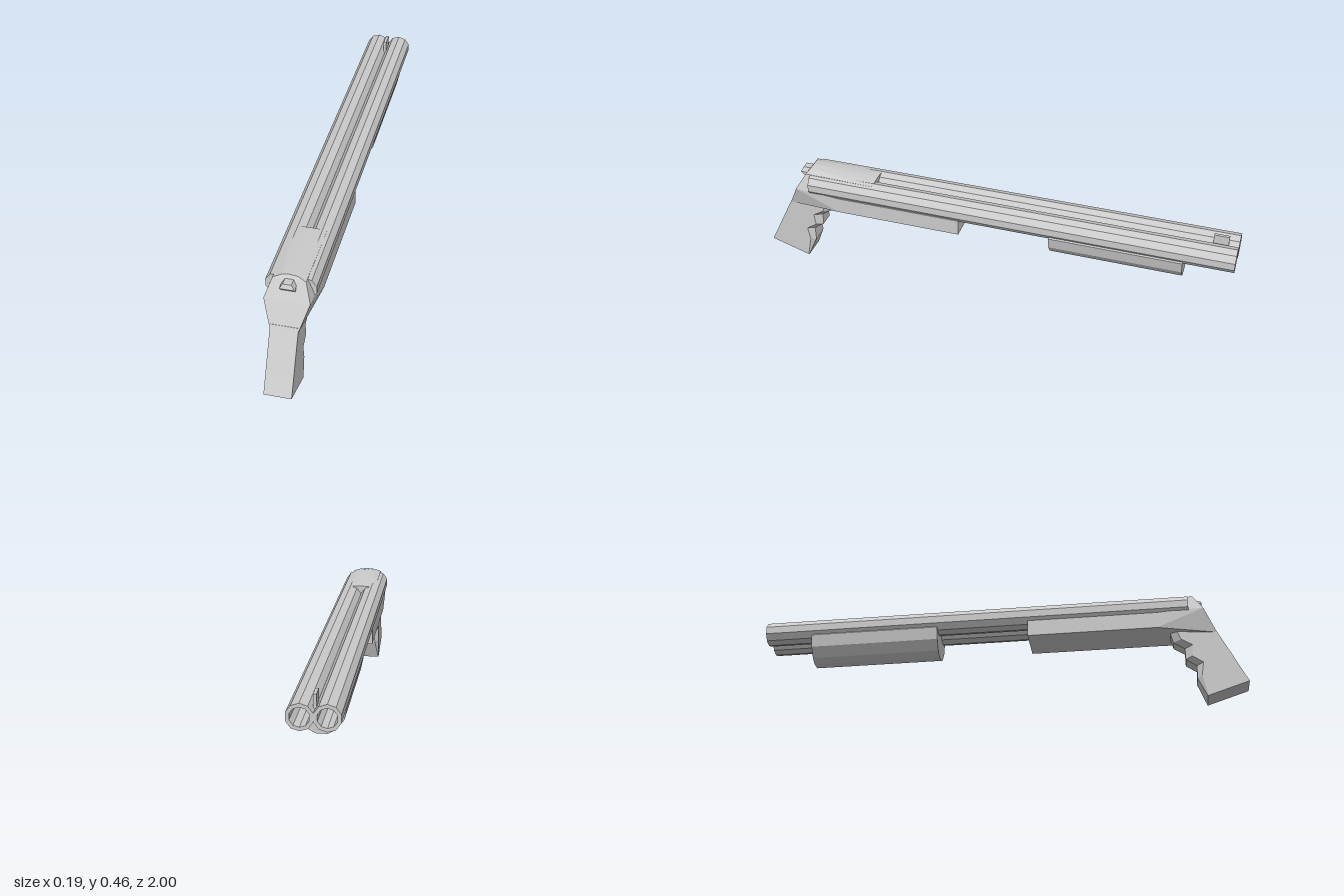
import * as THREE from 'three';
import { ConvexGeometry } from 'three/addons/geometries/ConvexGeometry.js';

const material = new THREE.MeshStandardMaterial({ color: 0xcccccc, flatShading: true });

function add(group, name, geometry) {
  const mesh = new THREE.Mesh(geometry, material);
  mesh.name = name;
  group.add(mesh);
  return mesh;
}

// Convex block from points on the +x side, mirrored to -x
function mirroredHull(points) {
  return new ConvexGeometry(points.flatMap(([x, y, z]) =>
    x === 0 ? [new THREE.Vector3(0, y, z)]
      : [new THREE.Vector3(x, y, z), new THREE.Vector3(-x, y, z)]));
}

// Ten-sided outline with a vertex at the top
function decagon(radius) {
  return Array.from({ length: 10 }, (_, i) => {
    const a = Math.PI / 2 + i * Math.PI / 5;
    return new THREE.Vector2(Math.cos(a) * radius, Math.sin(a) * radius);
  });
}

function extrude(shape, z, depth) {
  return new THREE.ExtrudeGeometry(shape, { depth, bevelEnabled: false }).translate(0, 0, z);
}

// Loft of the grip: rows of [backZ, backY, frontZ, frontY, chamfer]
function gripGeometry(rows, half) {
  const positions = [], index = [], n = 6;
  for (const [bz, by, fz, fy, c] of rows) {
    const side = fz + c * 1.3;
    const sideY = fy + (by - fy) * (side - fz) / (bz - fz);
    positions.push(-half, by, bz, half, by, bz, half, sideY, side,
      half - c, fy, fz, c - half, fy, fz, -half, sideY, side);
  }
  for (let r = 0; r < rows.length - 1; r++) {
    for (let i = 0; i < n; i++) {
      const a = r * n + i, b = r * n + (i + 1) % n;
      index.push(a, b, b + n, a, b + n, a + n);
    }
  }
  const top = (rows.length - 1) * n;
  for (let i = 1; i < n - 1; i++) {
    index.push(0, i + 1, i, top, top + i, top + i + 1);
  }
  const geometry = new THREE.BufferGeometry();
  geometry.setAttribute('position', new THREE.Float32BufferAttribute(positions, 3));
  geometry.setIndex(index);
  const flat = geometry.toNonIndexed();
  flat.computeVertexNormals();
  return flat;
}

export function createModel() {
  const model = new THREE.Group();
  model.name = 'doubleBarrelGun';

  // Side-by-side barrels with open bores, closed at the breech
  for (const side of [-1, 1]) {
    const tube = new THREE.Shape(decagon(0.05));
    tube.holes.push(new THREE.Path(decagon(0.036)));
    const name = side > 0 ? 'left' : 'right';
    add(model, name + 'Barrel', extrude(tube, -1, 1.78)).position.set(side * 0.0476, 0.398, 0);
    add(model, name + 'Breech', extrude(new THREE.Shape(decagon(0.037)), 0.5, 0.279))
      .position.set(side * 0.0476, 0.398, 0);
  }

  // Front sight
  add(model, 'frontSight', new THREE.BoxGeometry(0.012, 0.06, 0.06)).position.set(0, 0.438, -0.93);

  // Faceted fore-end under the barrels
  const half = [[0.08, 0.376], [0.091, 0.365], [0.08, 0.315], [0.05, 0.276], [0.02, 0.26]];
  const outline = [...half, ...half.map(([x, y]) => [-x, y]).reverse()];
  const section = new THREE.Shape(outline.map(([x, y]) => new THREE.Vector2(x, y)));
  add(model, 'foreEnd', extrude(section, -0.8, 0.54));

  // Receiver and its tapered tail
  add(model, 'receiver', new THREE.BoxGeometry(0.178, 0.068, 0.53)).position.set(0, 0.334, 0.385);
  add(model, 'receiverTail', mirroredHull([
    [0.089, 0.3, 0.65], [0.089, 0.368, 0.65], [0.086, 0.378, 0.78], [0.086, 0.378, 0.84],
    [0.0525, 0.28, 0.889], [0.0525, 0.3, 0.7]]));

  // Sloped breech block and the plate running forward over the barrels
  add(model, 'breechBlock', mirroredHull([
    [0.086, 0.378, 0.84], [0.062, 0.445, 0.8], [0.03, 0.457, 0.79], [0, 0.46, 0.788],
    [0.086, 0.378, 0.77], [0.062, 0.445, 0.77], [0.03, 0.457, 0.77], [0, 0.46, 0.77]]));
  add(model, 'topPlate', mirroredHull([
    [0.064, 0.42, 0.785], [0.062, 0.445, 0.785], [0.03, 0.457, 0.785], [0, 0.46, 0.785],
    [0.064, 0.42, 0.5], [0.064, 0.443, 0.5], [0.03, 0.448, 0.5], [0, 0.449, 0.5]]));

  // Opening lever
  add(model, 'openingLever', mirroredHull([
    [0.028, 0.405, 0.815], [0.028, 0.43, 0.838], [0.016, 0.447, 0.83],
    [0.016, 0.447, 0.79], [0.028, 0.43, 0.79]]));

  // Pistol grip with finger ridges
  add(model, 'grip', gripGeometry([
    [1.0, 0.058, 0.833, 0.004, 0.002],
    [0.964, 0.13, 0.797, 0.09, 0.015],
    [0.94, 0.18, 0.8, 0.145, 0.02],
    [0.925, 0.21, 0.757, 0.175, 0.02],
    [0.905, 0.25, 0.757, 0.225, 0.024],
    [0.892, 0.275, 0.712, 0.255, 0.024],
    [0.882, 0.296, 0.7, 0.305, 0.02]], 0.0525));

  return model;
}
